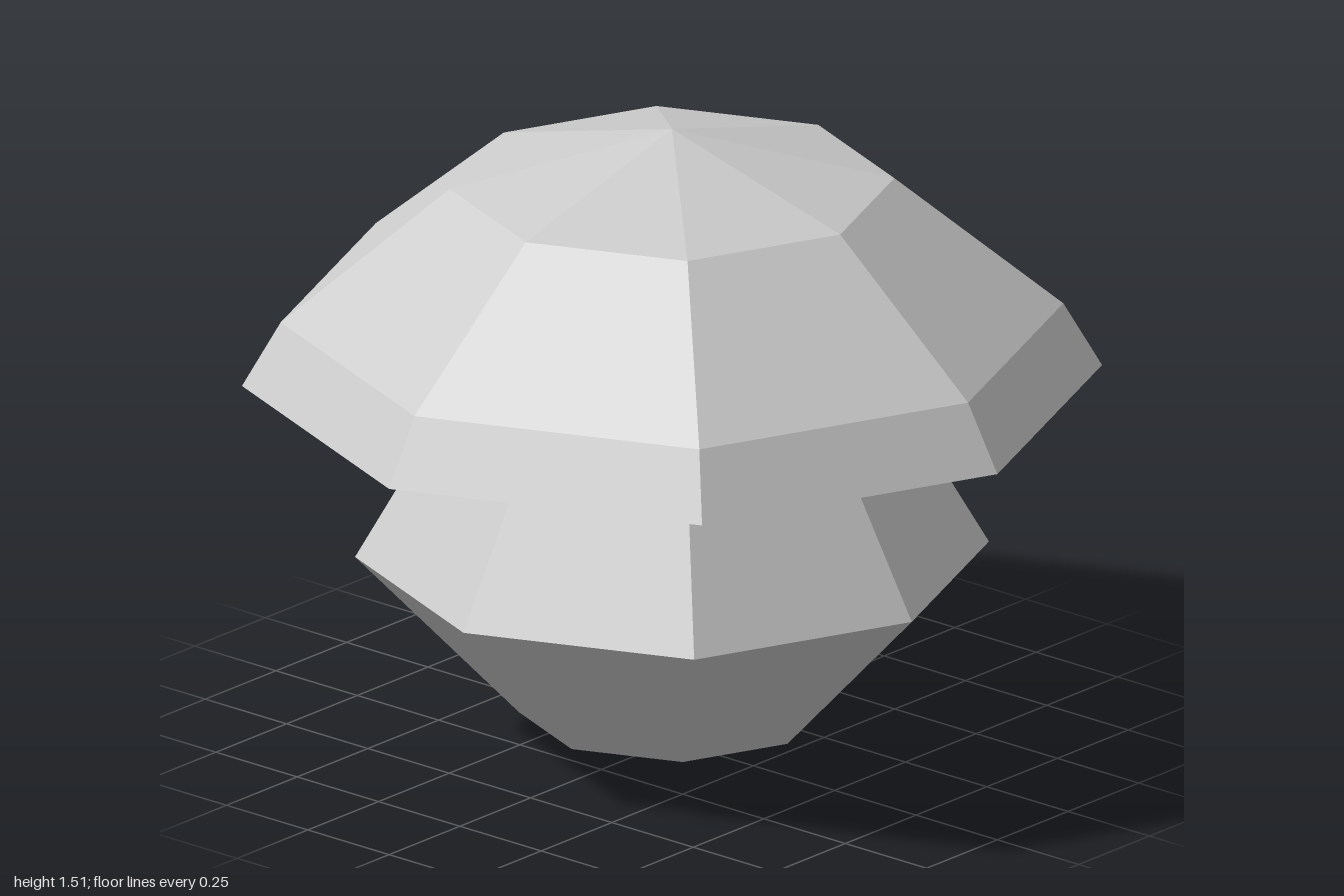
import * as THREE from 'three';

const material = new THREE.MeshStandardMaterial({ color: 0xcccccc, flatShading: true });

// Eight-sided turned part from [radius, height] pairs, listed counter-clockwise
function turned(name, profile) {
  const points = profile.map(([r, y]) => new THREE.Vector2(r, y));
  const mesh = new THREE.Mesh(new THREE.LatheGeometry(points, 8), material);
  mesh.name = name;
  return mesh;
}

export function createModel() {
  const group = new THREE.Group();
  group.name = 'mushroom';

  // Bulbous stem, from its bottom tip up to the underside of the cap
  group.add(turned('stem', [[0, 0], [0.355, 0.08], [0.737, 0.475], [0.437, 0.99]]));

  // Domed cap: sloping underside, rim, shoulder and peak
  group.add(turned('cap', [[0.437, 0.99], [1, 0.905], [0.91, 1.06], [0.517, 1.38], [0, 1.515]]));

  return group;
}
